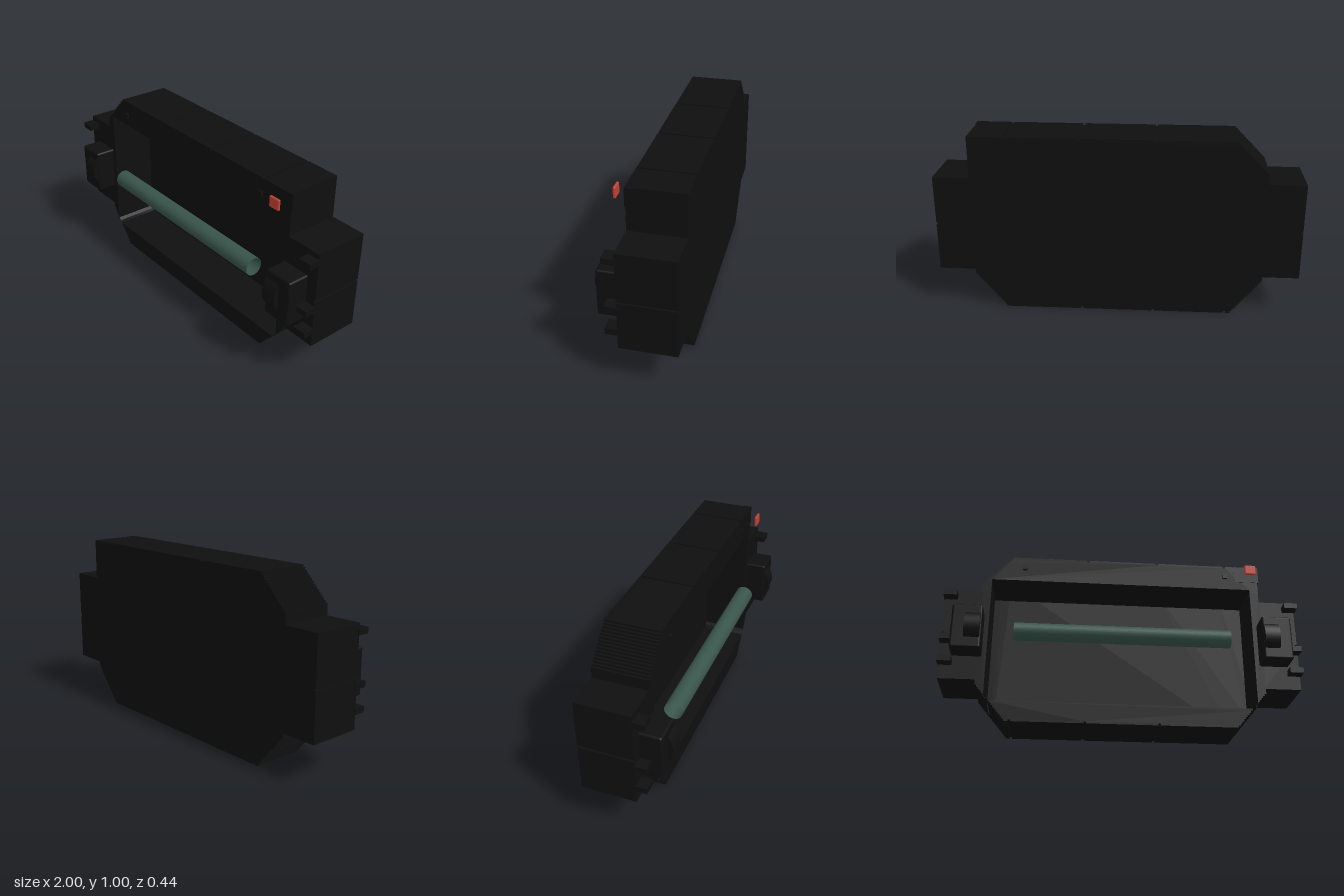
import * as THREE from 'three';
import { RoundedBoxGeometry } from 'three/addons/geometries/RoundedBoxGeometry.js';

const BACK = -0.22, FRONT = 0.077;

export function createModel() {
  const model = new THREE.Group();
  model.name = 'wallDevice';

  const black = new THREE.MeshStandardMaterial({ name: 'black casing', color: 0x0f0f0f });
  const teal = new THREE.MeshStandardMaterial({ name: 'dark teal tube', color: 0x38544b, side: THREE.DoubleSide });
  const red = new THREE.MeshStandardMaterial({ name: 'red button', color: 0xc04034 });

  const add = (name, geometry, material, parent = model) => {
    const mesh = new THREE.Mesh(geometry, material);
    mesh.name = name;
    parent.add(mesh);
    return mesh;
  };
  // Box given by its limits on each axis
  const box = (name, x0, x1, y0, y1, z0, z1, parent, radius = 0, material = black) => {
    const size = [x1 - x0, y1 - y0, z1 - z0];
    const g = radius ? new RoundedBoxGeometry(...size, 3, radius) : new THREE.BoxGeometry(...size);
    g.translate((x0 + x1) / 2, (y0 + y1) / 2, (z0 + z1) / 2);
    return add(name, g, material, parent);
  };
  // Outline in x and y, extruded along z
  const plate = (name, points, z0, z1, parent) => {
    const shape = new THREE.Shape(points.map(([x, y]) => new THREE.Vector2(x, y)));
    const g = new THREE.ExtrudeGeometry(shape, { depth: z1 - z0, bevelEnabled: false });
    g.translate(0, 0, z0);
    return add(name, g, black, parent);
  };
  // Small-stepped slope between two points; xFirst picks the direction of each tread
  const stairs = ([x0, y0], [x1, y1], steps, xFirst) => {
    const pts = [[x0, y0]];
    for (let i = 1; i <= steps; i++) {
      const a = (i - 1) / steps, b = i / steps;
      const xb = x0 + (x1 - x0) * b, yb = y0 + (y1 - y0) * b;
      pts.push(xFirst ? [xb, y0 + (y1 - y0) * a] : [x0 + (x1 - x0) * a, yb], [xb, yb]);
    }
    return pts;
  };
  // Panel joint cut into a horizontal edge
  const joint = (x, y, depth, dir) =>
    [[x - 0.006 * dir, y], [x - 0.006 * dir, y + depth], [x + 0.006 * dir, y + depth], [x + 0.006 * dir, y]];

  const bottomJoints = [-0.6, -0.2, 0.2].flatMap(x => joint(x, 0, 0.01, 1));
  const topJoints = [0.6, 0.2, -0.2].flatMap(x => joint(x, 1, -0.01, -1));
  const topLeftSlope = stairs([-0.63, 1], [-0.795, 0.83], 14, false);

  // Back panel: cut corners except the square one on the control side
  plate('backPanel', [
    [-0.63, 0], ...bottomJoints,
    ...stairs([0.63, 0], [0.795, 0.2], 16, false),
    [0.795, 1], ...topJoints,
    ...topLeftSlope,
    ...stairs([-0.795, 0.2], [-0.63, 0], 16, true).slice(0, -1),
  ], BACK, -0.18);

  // Top rail
  plate('topRail', [
    [-0.795, 0.83], [-0.745, 0.83], [-0.745, 0.85], [0.745, 0.85], [0.745, 0.83], [0.795, 0.83],
    [0.795, 1], ...topJoints, ...topLeftSlope.slice(0, -1),
  ], -0.18, FRONT);

  // Bottom rail, separated from the side walls by a slot
  plate('bottomRail', [
    [-0.63, 0], ...bottomJoints,
    ...stairs([0.63, 0], [0.722, 0.112], 9, false),
    ...stairs([-0.722, 0.112], [-0.63, 0], 9, true).slice(0, -1),
  ], -0.18, FRONT);

  // Corner block that carries the button
  box('cornerBlock', 0.66, 0.803, 0.9, 1, 0.03, FRONT + 0.002);

  // Side walls and side modules
  for (const side of [1, -1]) {
    const group = new THREE.Group();
    group.name = side > 0 ? 'leftSide' : 'rightSide';
    model.add(group);
    const mx = (a, b) => side > 0 ? [a, b] : [-b, -a];

    const wall = [[0.73, 0.126], ...stairs([0.736, 0.126], [0.795, 0.2], 6, false),
      [0.795, 0.83], [0.745, 0.83], [0.745, 0.14]];
    const flipped = wall.map(([x, y]) => [x * side, y]);
    plate('sideWall', side > 0 ? flipped : flipped.reverse(), -0.18, FRONT, group);

    // Module with a joint at mid height
    const module = [[0.79, 0.23], [0.995, 0.23], [0.995, 0.494], [0.985, 0.494],
      [0.985, 0.506], [0.995, 0.506], [0.995, 0.77], [0.79, 0.77]].map(([x, y]) => [x * side, y]);
    plate('sideModule', side > 0 ? module : module.reverse(), BACK, FRONT, group);

    box('housing', ...mx(0.77, 0.935), 0.365, 0.622, 0.04, 0.193, group, 0.012);
    for (const y of [0.325, 0.455, 0.725])
      box('rib', ...mx(0.925, 1), y - 0.016, y + 0.016, FRONT - 0.01, 0.138, group);

    // Thumb wheel
    const wheel = add('wheel', new THREE.CylinderGeometry(0.108, 0.108, 0.085, 40), black, group);
    wheel.rotation.z = Math.PI / 2;
    wheel.position.set(0.82 * side, 0.5, 0.114);
  }

  // Small clips in front of the top rail
  for (const x of [-0.56, 0.6])
    box('clip', x - 0.013, x + 0.013, 0.91, 0.94, 0.09, 0.102);

  // Open tube across the recess
  const tube = add('tube', new THREE.CylinderGeometry(0.05, 0.05, 1.2, 32, 1, true), teal);
  tube.rotation.z = Math.PI / 2;
  tube.position.set(0, 0.505, 0.116);

  // Button
  box('button', 0.71, 0.776, 0.92, 0.98, 0.127, 0.142, model, 0.007, red);

  return model;
}
